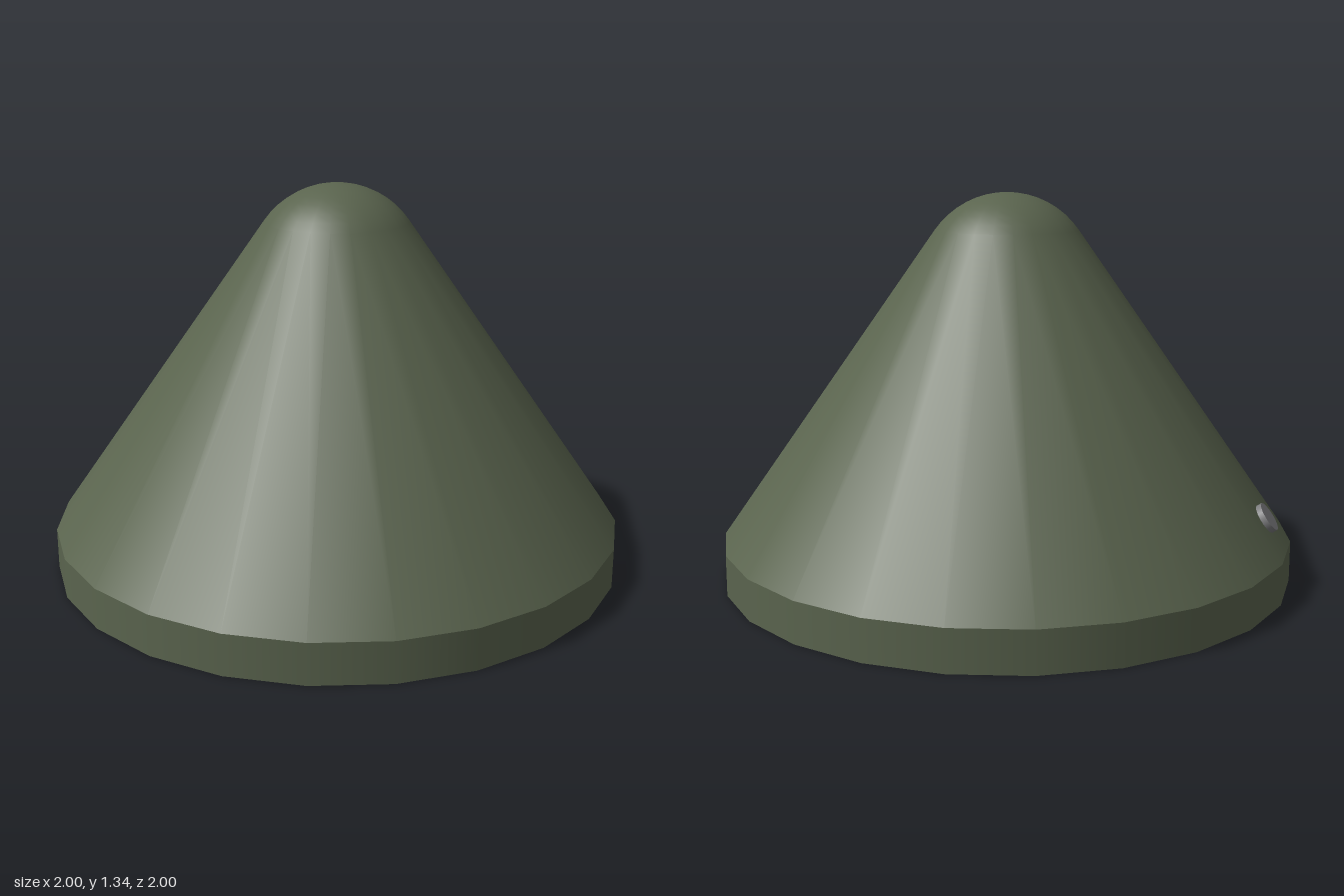
import * as THREE from 'three';

const SEGMENTS = 24;

export function createModel() {
  const group = new THREE.Group();
  group.name = 'coneShell';

  const olive = new THREE.MeshStandardMaterial({ color: 0x5a644e, side: THREE.DoubleSide });
  olive.name = 'olive';
  const grey = new THREE.MeshStandardMaterial({ color: 0x7b7b7d, side: THREE.DoubleSide });
  grey.name = 'grey';

  // Each smooth stretch of the profile is its own lathe, so edges stay sharp
  const lathe = (name, points, material) => {
    const profile = points.map(([r, y]) => new THREE.Vector2(r, y));
    const mesh = new THREE.Mesh(new THREE.LatheGeometry(profile, SEGMENTS), material);
    mesh.name = name;
    group.add(mesh);
  };

  // Rounded tip, from the tangent point with the cone up to the axis
  const tip = (radius, centreY, steps = 8) => {
    const points = [];
    for (let i = 0; i <= steps; i++) {
      const a = THREE.MathUtils.lerp(0.613, Math.PI / 2, i / steps);
      points.push([Math.max(radius * Math.cos(a), 0), centreY + radius * Math.sin(a)]);
    }
    return points;
  };

  // Outer cone, base band, underside rim and hollow inside
  lathe('cone', [[1, 0.14], ...tip(0.306, 1.029)], olive);
  lathe('baseBand', [[1, 0], [1, 0.14]], olive);
  lathe('rimUnderside', [[0.87, 0], [1, 0]], olive);
  lathe('rimInnerWall', [[0.87, 0.1], [0.87, 0]], olive);
  lathe('coneInside', [...tip(0.21, 0.98).reverse(), [0.87, 0.1]], olive);

  // Recessed ring plate with a short collar around its opening
  lathe('basePlate', [[0.5, 0.037], [0.87, 0.037]], grey);
  lathe('openingCollar', [[0.5, 0], [0.5, 0.037]], grey);

  // Small button standing square to the cone's slope at the back
  const azimuth = THREE.MathUtils.degToRad(37.5);
  const outward = (r, y) => new THREE.Vector3(-Math.sin(azimuth) * r, y, -Math.cos(azimuth) * r);
  const button = new THREE.Mesh(new THREE.CylinderGeometry(0.052, 0.052, 0.06, 16), grey);
  button.name = 'button';
  const normal = outward(0.818, 0.575).normalize();
  button.quaternion.setFromUnitVectors(new THREE.Vector3(0, 1, 0), normal);
  button.position.copy(outward(0.93, 0.262)).addScaledVector(normal, -0.03);
  group.add(button);

  return group;
}
